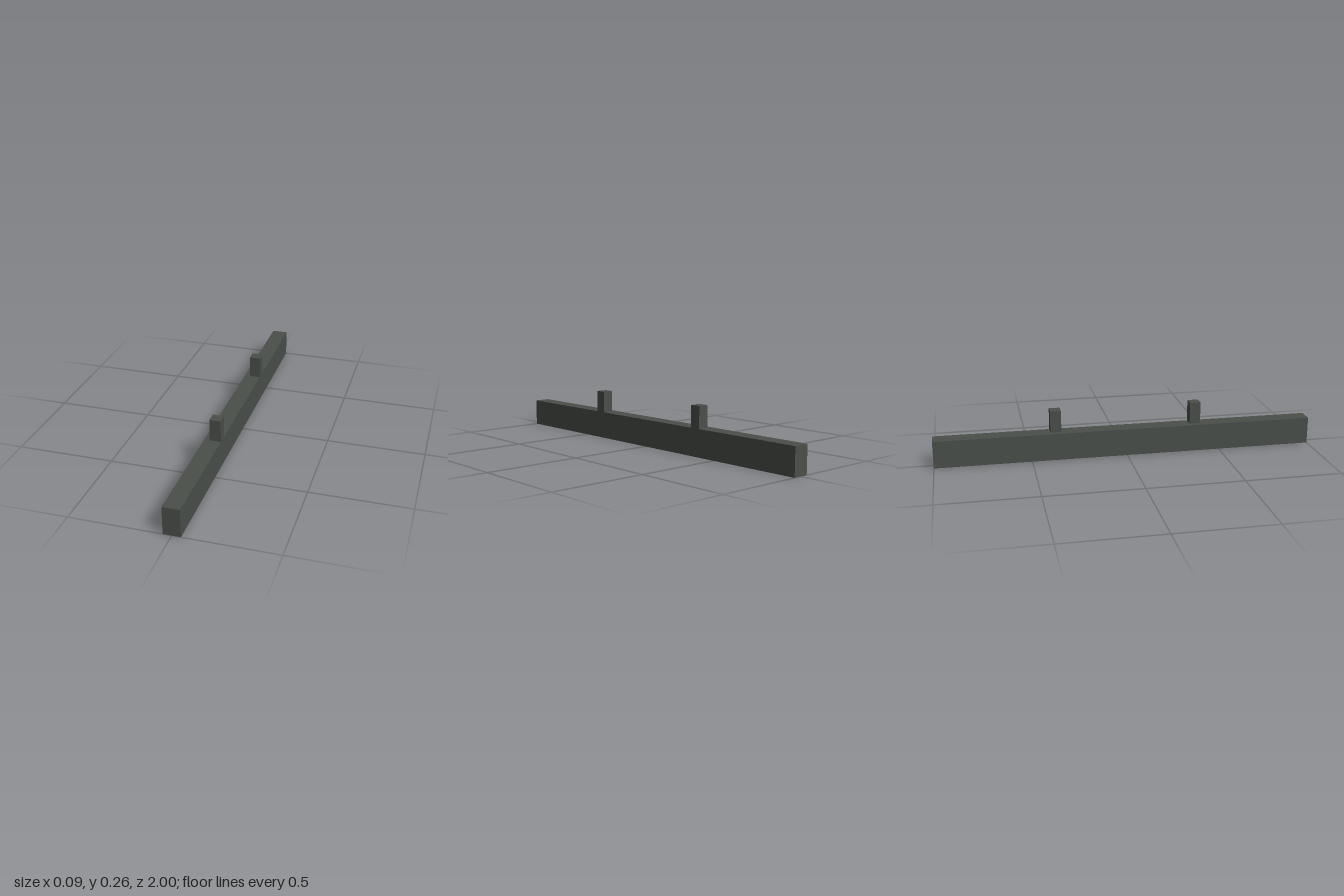
import * as THREE from 'three';

export function createModel() {
  const model = new THREE.Group();
  model.name = 'railWithPegs';

  const darkGrey = new THREE.MeshStandardMaterial({ color: 0x4a4f4a });
  darkGrey.name = 'darkGrey';

  const width = 0.085, height = 0.143, length = 2;
  const pegSize = 0.057, pegHeight = 0.114;

  const addBox = (name, w, h, d, x, bottom, z) => {
    const mesh = new THREE.Mesh(new THREE.BoxGeometry(w, h, d), darkGrey);
    mesh.name = name;
    mesh.position.set(x, bottom + h / 2, z);
    model.add(mesh);
  };

  // Long rail lying along z
  addBox('rail', width, height, length, 0, 0, 0);

  // Two square pegs on top, flush with the left side
  for (const [name, side] of [['frontPeg', 1], ['backPeg', -1]]) {
    addBox(name, pegSize, pegHeight, pegSize, (width - pegSize) / 2, height, side * 0.3715);
  }

  return model;
}
